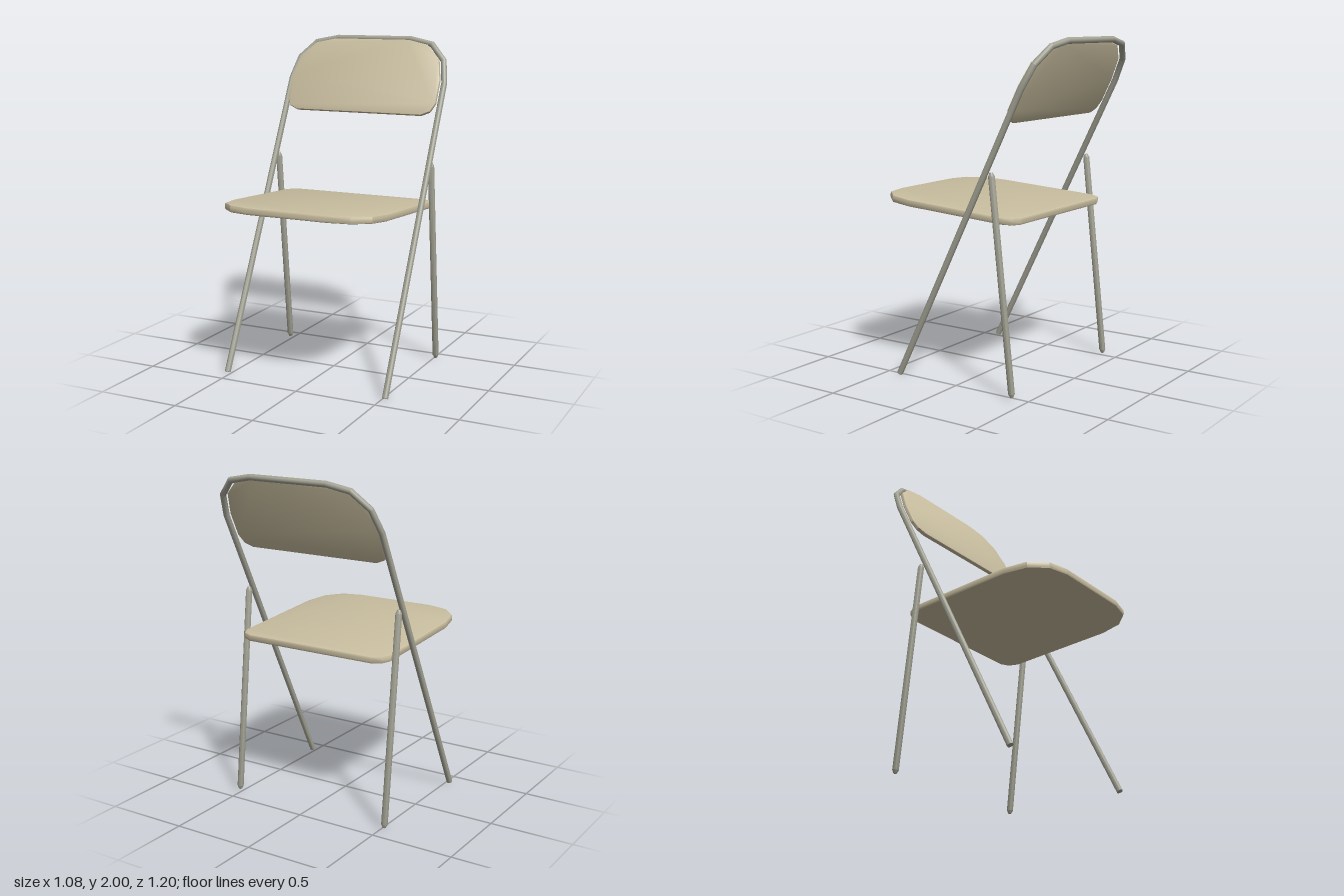
import * as THREE from 'three';
import { toCreasedNormals } from 'three/addons/utils/BufferGeometryUtils.js';

const R = 0.018;
const LEAN = 0.4626; // backward lean of the main frame
const metal = new THREE.MeshStandardMaterial({ color: 0xa3a294 });
const padding = new THREE.MeshStandardMaterial({ color: 0xc8bd9f });

// Slab with wide faceted corners at the top end and tight ones at the bottom
function plate(name, height, depth, bevel) {
  const h = height / 2;
  const half = [
    [0.42, -h], [0.475, -h + 0.025], [0.502, -h + 0.08],
    [0.502, h - 0.26], [0.47, h - 0.12], [0.38, h - 0.03], [0.25, h],
  ];
  const outline = [...half, ...half.map(([x, y]) => [-x, y]).reverse()];
  const shape = new THREE.Shape(outline.map(([x, y]) => new THREE.Vector2(x, y)));
  const geo = new THREE.ExtrudeGeometry(shape, {
    depth: depth - 2 * bevel, bevelEnabled: true, bevelSize: bevel,
    bevelThickness: bevel, bevelOffset: -bevel, bevelSegments: 2,
  });
  geo.translate(0, 0, -depth / 2 + bevel);
  const mesh = new THREE.Mesh(toCreasedNormals(geo, 0.45), padding);
  mesh.name = name;
  return mesh;
}

// Round tube along a flat polyline, mitred at each bend, with closed ends
function mitredTube(path, radius, sides = 12) {
  const pos = [], index = [];
  const pts = path.map(([x, y]) => new THREE.Vector2(x, y));
  pts.forEach((p, i) => {
    const a = pts[Math.max(i - 1, 0)], b = pts[Math.min(i + 1, pts.length - 1)];
    const d0 = (i ? p.clone().sub(a) : b.clone().sub(p)).normalize();
    const d1 = (b !== p ? b.clone().sub(p) : p.clone().sub(a)).normalize();
    const t = d0.clone().add(d1).normalize();
    const stretch = 1 / t.dot(d0);
    for (let k = 0; k < sides; k++) {
      const ang = (k / sides) * Math.PI * 2;
      const s = Math.cos(ang) * radius * stretch;
      pos.push(p.x - t.y * s, p.y + t.x * s, Math.sin(ang) * radius);
    }
  });
  for (let i = 0; i < pts.length - 1; i++) {
    for (let k = 0; k < sides; k++) {
      const n = (k + 1) % sides, a = i * sides + k, b = i * sides + n;
      index.push(a, b, a + sides, b, b + sides, a + sides);
    }
  }
  const last = (pts.length - 1) * sides;
  for (let k = 1; k < sides - 1; k++) {
    index.push(0, k + 1, k, last, last + k, last + k + 1);
  }
  const geo = new THREE.BufferGeometry();
  geo.setAttribute('position', new THREE.Float32BufferAttribute(pos, 3));
  geo.setIndex(index);
  return toCreasedNormals(geo, 0.6);
}

export function createModel() {
  const chair = new THREE.Group();
  chair.name = 'foldingChair';

  // Leaning assembly: front legs and top hoop in one tube, plus the backrest
  const back = new THREE.Group();
  back.name = 'backAssembly';
  back.position.set(0, 0.009, 0.402);
  back.rotation.x = -LEAN;
  const side = [[0.52, 0], [0.52, 1.923], [0.49, 2.068], [0.395, 2.174], [0.25, 2.206]];
  const path = [...side, ...side.map(([x, y]) => [-x, y]).reverse()];
  const frame = new THREE.Mesh(mitredTube(path, R), metal);
  frame.name = 'mainFrame';
  const backrest = plate('backrest', 0.49, 0.025, 0.007);
  backrest.position.set(0, 1.942, 0.025);
  back.add(frame, backrest);
  chair.add(back);

  // Seat, rising slightly to the front
  const seat = plate('seat', 1.0, 0.042, 0.01);
  seat.rotation.x = Math.PI / 2 - 0.062;
  seat.position.set(0, 1.027, 0.1);
  chair.add(seat);

  // Rear legs with blunt pointed ends
  const foot = new THREE.Vector3(0, 0.01, -0.4);
  const top = new THREE.Vector3(0, 1.27, -0.262);
  const dir = top.clone().sub(foot);
  const length = dir.length();
  const r = 0.019;
  const profile = [
    [0, 0], [0.009, 0.001], [r, 0.022], [r, length - 0.022], [0.009, length - 0.001], [0, length],
  ].map(([x, y]) => new THREE.Vector2(x, y));
  const legGeo = toCreasedNormals(new THREE.LatheGeometry(profile, 12), 0.6);
  for (const s of [1, -1]) {
    const leg = new THREE.Mesh(legGeo, metal);
    leg.name = s > 0 ? 'rearLegLeft' : 'rearLegRight';
    leg.position.set(s * 0.518, foot.y, foot.z);
    leg.rotation.x = Math.atan2(dir.z, dir.y);
    chair.add(leg);
  }
  return chair;
}
